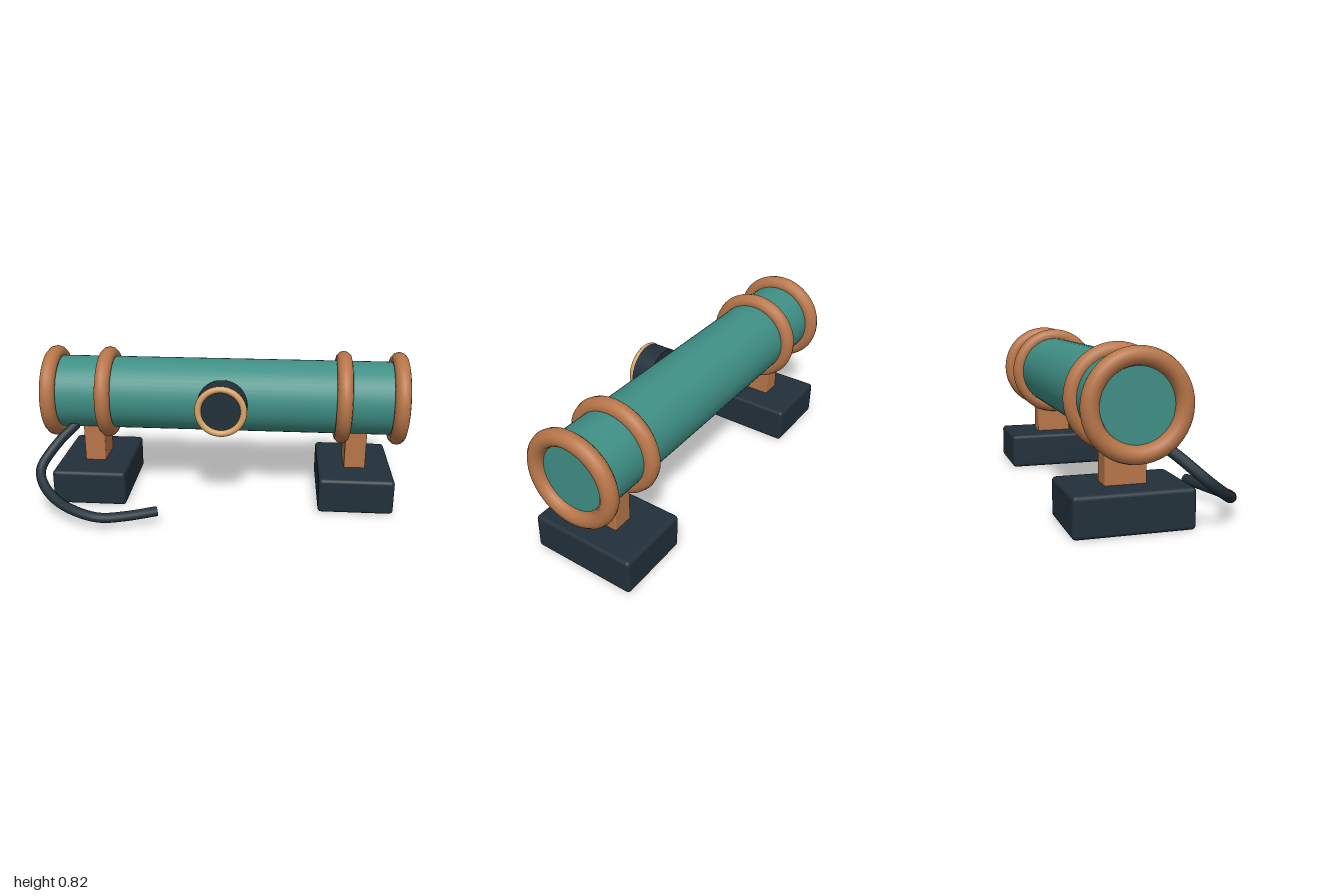
import * as THREE from 'three';
import { RoundedBoxGeometry } from 'three/addons/geometries/RoundedBoxGeometry.js';

const AXIS_Y = 0.57, AXIS_Z = -0.157, MID_X = 0.004;

export function createModel() {
  const model = new THREE.Group();
  model.name = 'pipeDevice';

  const material = (name, color) => {
    const m = new THREE.MeshStandardMaterial({ color });
    m.name = name;
    return m;
  };
  const teal = material('teal', 0x3f8f85);
  const copper = material('copper', 0xb87649);
  const brass = material('brass', 0xd9a566);
  const dark = material('dark slate', 0x22303a);

  const add = (name, geometry, mat, x, y, z) => {
    const mesh = new THREE.Mesh(geometry, mat);
    mesh.name = name;
    mesh.position.set(x, y, z);
    model.add(mesh);
    return mesh;
  };

  // Horizontal barrel
  const barrel = new THREE.CylinderGeometry(0.2, 0.2, 1.894, 48).rotateZ(Math.PI / 2);
  add('barrel', barrel, teal, MID_X, AXIS_Y, AXIS_Z);

  // Copper hoops, pedestals and feet on both sides
  const hoop = new THREE.TorusGeometry(0.211, 0.0425, 12, 48).rotateY(Math.PI / 2);
  const post = new RoundedBoxGeometry(0.116, 0.26, 0.198, 2, 0.008);
  const foot = new RoundedBoxGeometry(0.404, 0.193, 0.566, 3, 0.02);
  for (const [side, s] of [['left', 1], ['right', -1]]) {
    add(side + 'EndHoop', hoop, copper, MID_X + s * 0.947, AXIS_Y, AXIS_Z);
    add(side + 'InnerHoop', hoop, copper, MID_X + s * 0.648, AXIS_Y, AXIS_Z);
    add(side + 'Post', post, copper, MID_X + s * 0.729, 0.3, AXIS_Z);
    add(side + 'Foot', foot, dark, MID_X + s * 0.729, 0.0965, AXIS_Z);
  }

  // Front gauge with brass rim
  const gauge = new THREE.CylinderGeometry(0.136, 0.136, 0.118, 40).rotateX(Math.PI / 2);
  add('gaugeBody', gauge, dark, MID_X, AXIS_Y, 0.081);
  add('gaugeRim', new THREE.TorusGeometry(0.121, 0.0175, 12, 48), brass, MID_X, AXIS_Y, 0.1395);

  // Trailing hose, from under the barrel to the ground
  const path = new THREE.CatmullRomCurve3([
    [-0.82, 0.41, -0.05], [-0.9, 0.335, 0.04], [-0.972, 0.225, 0.16],
    [-0.943, 0.17, 0.235], [-0.85, 0.115, 0.32], [-0.72, 0.083, 0.385],
    [-0.6, 0.066, 0.405], [-0.48, 0.066, 0.38], [-0.315, 0.075, 0.325],
  ].map(p => new THREE.Vector3(...p)));
  add('hose', new THREE.TubeGeometry(path, 48, 0.027, 10), dark, 0, 0, 0);

  // Discs closing the hose ends
  for (const [name, t, s] of [['hoseStartCap', 0, -1], ['hoseEndCap', 1, 1]]) {
    const p = path.getPointAt(t);
    const cap = add(name, new THREE.CircleGeometry(0.027, 10), dark, p.x, p.y, p.z);
    cap.quaternion.setFromUnitVectors(new THREE.Vector3(0, 0, 1), path.getTangentAt(t).multiplyScalar(s));
  }

  return model;
}
